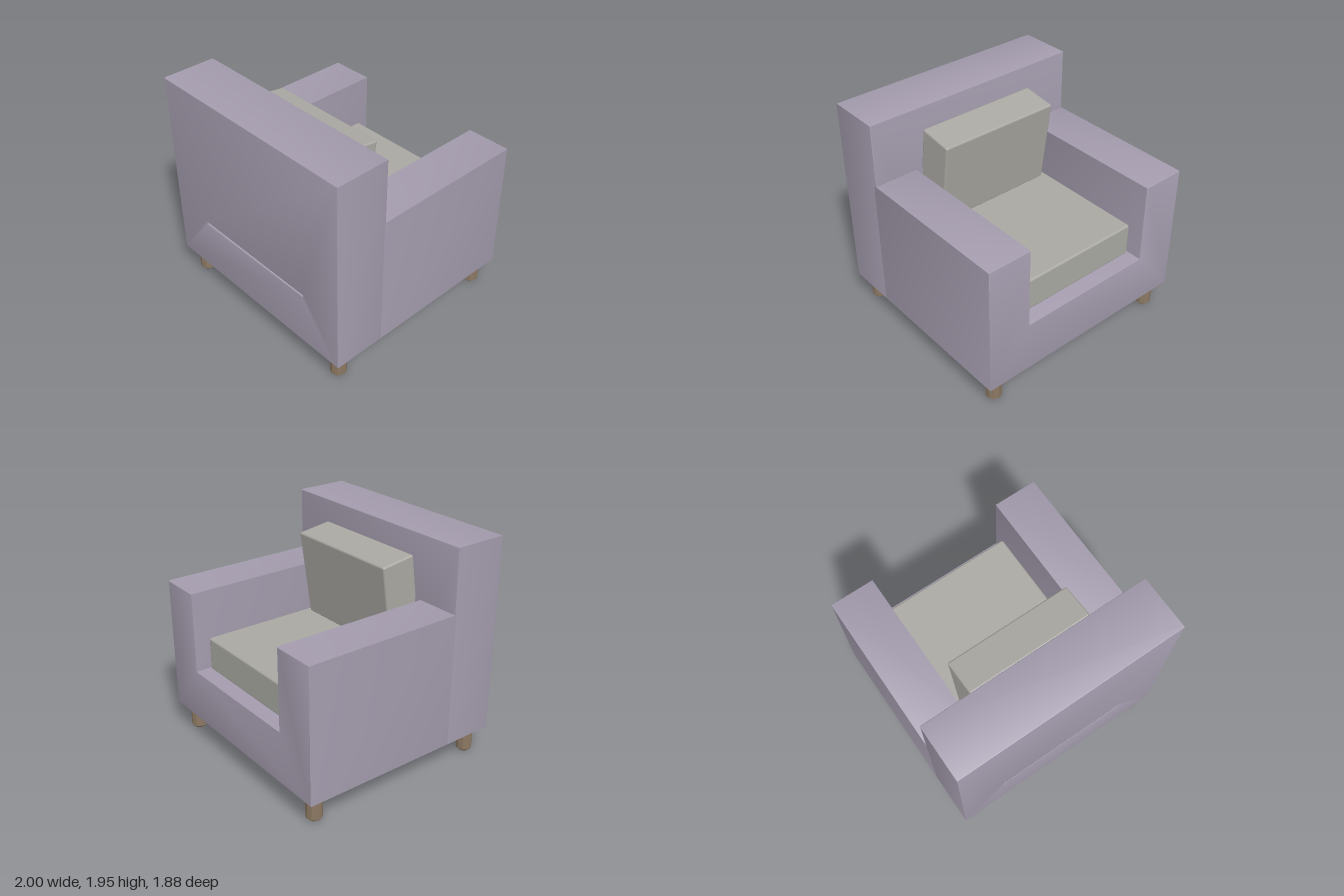
import * as THREE from 'three';
import { RoundedBoxGeometry } from 'three/addons/geometries/RoundedBoxGeometry.js';
import { toCreasedNormals } from 'three/addons/utils/BufferGeometryUtils.js';

const fabric = new THREE.MeshStandardMaterial({ color: 0xa39bad });
const cushionCloth = new THREE.MeshStandardMaterial({ color: 0xa9a8a2 });
const wood = new THREE.MeshStandardMaterial({ color: 0x8b7862, flatShading: true });

function add(parent, name, geometry, material, x = 0, y = 0, z = 0) {
  const mesh = new THREE.Mesh(geometry, material);
  mesh.name = name;
  mesh.position.set(x, y, z);
  parent.add(mesh);
  return mesh;
}

// Extrude an x-y outline between two z planes, with a narrow rounded edge inside the outline
function slab(points, z0, z1, hole) {
  const toVec = ([x, y]) => new THREE.Vector2(x, y);
  const shape = new THREE.Shape(points.map(toVec));
  if (hole) shape.holes.push(new THREE.Path(hole.map(toVec)));
  const b = 0.012;
  const geometry = new THREE.ExtrudeGeometry(shape, {
    depth: z1 - z0 - 2 * b, bevelEnabled: true, bevelSize: b, bevelThickness: b,
    bevelOffset: -b, bevelSegments: 2,
  });
  geometry.translate(0, 0, z0 + b);
  return toCreasedNormals(geometry, 0.6);
}

const rect = (x, y0, y1) => [[-x, y0], [x, y0], [x, y1], [-x, y1]];

export function createModel() {
  const chair = new THREE.Group();
  chair.name = 'armchair';

  // Base and both arms share one U-shaped section
  const section = [[-1, 0.23], [1, 0.23], [1, 1.4], [0.61, 1.4],
    [0.61, 0.69], [-0.61, 0.69], [-0.61, 1.4], [-1, 1.4]];
  add(chair, 'baseAndArms', slab(section, -0.94, 0.5), fabric);

  // Tall back block with a thin seam slit where it meets the base
  const slit = rect(0.605, 0.709, 0.725).reverse();
  add(chair, 'backrest', slab(rect(1, 0.23, 1.95), 0.46, 0.94, slit), fabric);

  // Seat cushion, set back from the edge of the base
  add(chair, 'seatCushion', new RoundedBoxGeometry(1.19, 0.29, 1.265, 2, 0.018),
    cushionCloth, 0, 0.835, -0.178);

  // Loose cushion leaning on the backrest
  const pillow = add(chair, 'backCushion', new RoundedBoxGeometry(1.1, 0.77, 0.315, 2, 0.018),
    cushionCloth, 0, 1.373, 0.319);
  pillow.rotation.x = -0.14;

  // Four short faceted legs with chamfered ends
  const profile = [[0, 0], [0.05, 0], [0.068, 0.018], [0.068, 0.212], [0.05, 0.23], [0, 0.23]]
    .map(([r, y]) => new THREE.Vector2(r, y));
  const legGeometry = new THREE.LatheGeometry(profile, 10);
  for (const x of [-0.87, 0.87]) {
    for (const z of [-0.81, 0.81]) {
      add(chair, z > 0 ? 'rearLeg' : 'seatSideLeg', legGeometry, wood, x, 0.003, z);
    }
  }
  return chair;
}
